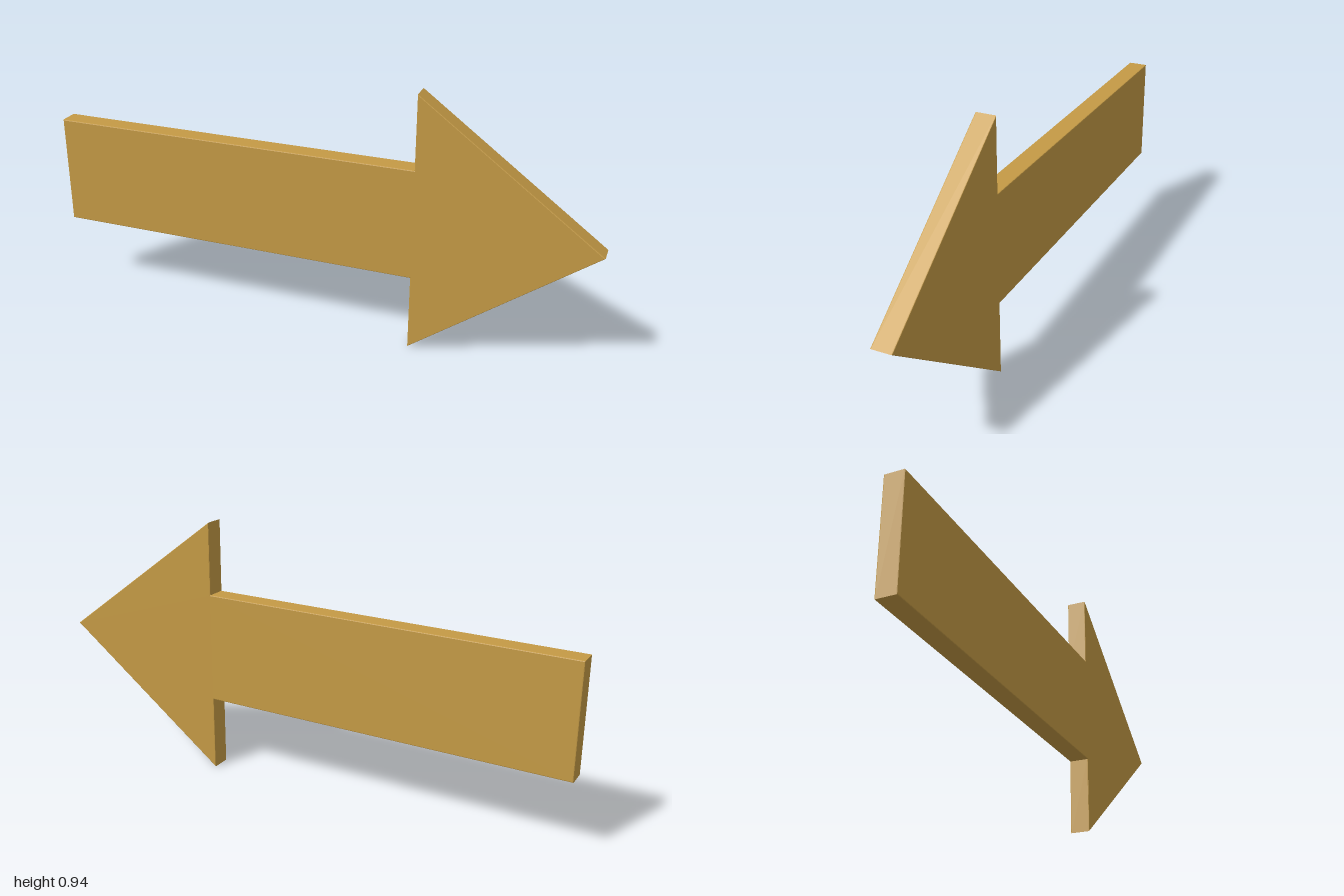
import * as THREE from 'three';

export function createModel() {
  const group = new THREE.Group();
  group.name = 'arrowSign';

  // Arrow outline: rectangular shaft and triangular head pointing to +x
  const outline = new THREE.Shape([
    [-1, 0.277], [0.36, 0.277], [0.36, 0], [1, 0.473],
    [0.36, 0.945], [0.36, 0.68], [-1, 0.68],
  ].map(([x, y]) => new THREE.Vector2(x, y)));

  // Flat board with slightly softened edges
  const thickness = 0.072, bevel = 0.003;
  const geometry = new THREE.ExtrudeGeometry(outline, {
    depth: thickness - 2 * bevel,
    bevelEnabled: true,
    bevelThickness: bevel,
    bevelSize: bevel,
    bevelOffset: -bevel,
    bevelSegments: 2,
  });
  geometry.translate(0, 0, bevel - thickness / 2);

  const board = new THREE.Mesh(geometry, new THREE.MeshStandardMaterial({ color: 0xc49a45 }));
  board.name = 'arrowBoard';
  group.add(board);
  return group;
}
